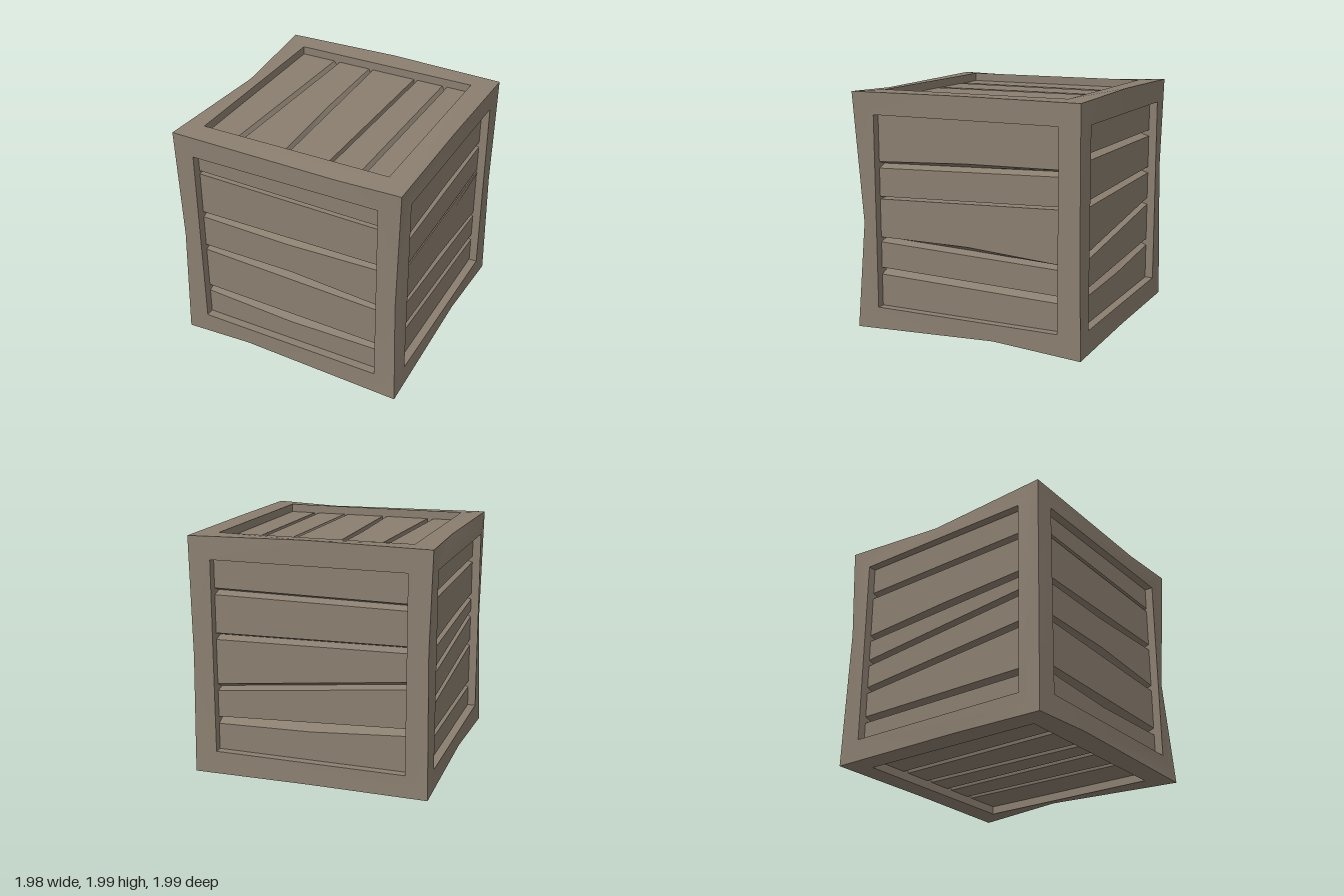
import * as THREE from 'three';

const wood = new THREE.MeshStandardMaterial({ color: 0x8a7e6f });
wood.name = 'weathered wood';

const INNER = 0.8;    // half width of each frame opening
const RIM = 0.985;    // frame surface at the opening
const PLANK = 0.915;  // plank surface
const FLOOR = 0.835;  // bottom of the grooves between planks

// Worn corners and the bent middle of every edge, keyed by the signs of x, y, z
const framePoints = {
  '1,1,1': [0.99, 0.98, 0.995], '-1,1,1': [-0.975, 0.975, 0.985],
  '1,1,-1': [0.99, 0.98, -0.975], '-1,1,-1': [-0.99, 0.985, -0.985],
  '1,-1,1': [0.99, -0.99, 0.995], '-1,-1,1': [-0.99, -0.99, 0.985],
  '1,-1,-1': [0.985, -0.99, -0.995], '-1,-1,-1': [-0.985, -0.985, -0.99],
  '1,0,1': [0.945, -0.1, 0.94], '-1,0,1': [-0.96, 0, 0.97],
  '1,0,-1': [0.975, 0, -0.975], '-1,0,-1': [-0.965, 0.2, -0.97],
  '0,1,1': [0.45, 0.96, 0.985], '0,1,-1': [0, 1, -0.985],
  '1,1,0': [0.985, 0.985, 0], '-1,1,0': [-0.93, 0.955, -0.1],
  '0,-1,1': [-0.4, -0.96, 0.98], '0,-1,-1': [0, -0.985, -0.985],
  '1,-1,0': [0.98, -0.94, -0.25], '-1,-1,0': [-0.97, -0.97, 0.2],
};

// A groove: its height at both ends, and the bevel widths above and below it
const groove = (l, r, up = 0.03, down = 0.025, upMid = up, downMid = down) => ({
  floor: [l, (l + r) / 2, r], up: [up, upMid, up], down: [down, downMid, down],
});

// u runs along the planks, v across them, n points outward
const faces = [
  { name: 'front', u: [1, 0, 0], v: [0, 1, 0], n: [0, 0, 1], grooves: [
    groove(-0.545, -0.57, 0.03, 0.03, 0.03, 0.06), groove(-0.115, -0.17, 0.025, 0.025, 0.055),
    groove(0.215, 0.225, 0.025, 0.025, 0.025, 0.045), groove(0.61, 0.583, 0.027, 0.004)] },
  { name: 'leftSide', u: [0, 0, -1], v: [0, 1, 0], n: [1, 0, 0], grooves: [
    groove(-0.5, -0.545, 0.025, 0.033), groove(-0.235, -0.29, 0.018, 0.023, 0.045),
    groove(0.105, 0.165, 0.017, 0.004), groove(0.385, 0.44, 0.025, 0.028, 0.038)] },
  { name: 'back', u: [-1, 0, 0], v: [0, 1, 0], n: [0, 0, -1], grooves: [
    groove(-0.54, -0.46, 0.02, 0.04, 0.02, 0.06), groove(-0.28, -0.1, 0.04, 0.02),
    groove(0.16, 0.19), groove(0.53, 0.52)] },
  { name: 'rightSide', u: [0, 0, 1], v: [0, 1, 0], n: [-1, 0, 0], grooves: [
    groove(-0.61, -0.6), groove(-0.35, -0.2), groove(-0.1, 0.07),
    groove(0.13, 0.23, 0.03, 0.025, 0.04), groove(0.54, 0.57)] },
  { name: 'top', u: [0, 0, 1], v: [1, 0, 0], n: [0, 1, 0], grooves: [
    groove(-0.44, -0.5, 0.004, 0.05), groove(-0.115, -0.08, 0.004, 0.035, 0.004, 0.05),
    groove(0.285, 0.26, 0.03, 0.004), groove(0.585, 0.575, 0.004, 0.04)] },
  { name: 'bottom', u: [0, 0, 1], v: [-1, 0, 0], n: [0, -1, 0], grooves: [
    groove(-0.45, -0.47), groove(-0.17, -0.15), groove(0.1, 0.08), groove(0.4, 0.43)] },
];

// Face coordinates to model coordinates, centred on the crate
const place = (f, u, v, n) => [0, 1, 2].map((k) => f.u[k] * u + f.v[k] * v + f.n[k] * n);

function makeMesh(name, points, index) {
  let geometry = new THREE.BufferGeometry();
  geometry.setAttribute('position', new THREE.Float32BufferAttribute(points.flat(), 3));
  geometry.setIndex(index);
  if (!name.startsWith('frame')) geometry = geometry.toNonIndexed();
  geometry.computeVertexNormals();
  const mesh = new THREE.Mesh(geometry, wood);
  mesh.name = name;
  return mesh;
}

// Frame surface around one opening, and the walls of the opening
function addFrame(group, f) {
  const signs = [[-1, -1], [1, -1], [1, 1], [-1, 1]];
  const lookup = (u, v) => framePoints[place(f, u, v, 1).map((c) => Math.round(c) + 0).join(',')];
  const ring = [], ringIndex = [], walls = [], wallIndex = [];
  signs.forEach(([u, v], i) => {
    const [nu, nv] = signs[(i + 1) % 4];
    ring.push(lookup(u, v), lookup((u + nu) / 2, (v + nv) / 2), place(f, u * INNER, v * INNER, RIM));
    walls.push(place(f, u * INNER, v * INNER, RIM), place(f, u * INNER, v * INNER, FLOOR - 0.01));
    const a = i * 3, b = ((i + 1) % 4) * 3;
    ringIndex.push(a, a + 1, a + 2, a + 1, b, b + 2, a + 1, b + 2, a + 2);
    const p = i * 2, q = ((i + 1) % 4) * 2;
    wallIndex.push(p, q, p + 1, q, q + 1, p + 1);
  });
  group.add(makeMesh('frame', ring, ringIndex), makeMesh('openingWalls', walls, wallIndex));
}

// Bevelled planks lofted through three stations between neighbouring grooves
function addPlanks(group, f) {
  const end = (v) => groove(v, v, 0, 0);
  const bounds = [end(-0.82), ...f.grooves, end(0.82)];
  for (let p = 0; p < bounds.length - 1; p++) {
    const low = bounds[p], high = bounds[p + 1];
    const points = [], index = [];
    [-0.82, 0, 0.82].forEach((u, i) => {
      points.push(
        place(f, u, low.floor[i], FLOOR),
        place(f, u, low.floor[i] + low.up[i], PLANK),
        place(f, u, high.floor[i] - high.down[i], PLANK),
        place(f, u, high.floor[i], FLOOR));
      if (i === 2) return;
      for (let j = 0; j < 3; j++) {
        const a = i * 4 + j;
        index.push(a, a + 4, a + 5, a, a + 5, a + 1);
      }
    });
    group.add(makeMesh('plank', points, index));
  }
}

export function createModel() {
  const crate = new THREE.Group();
  crate.name = 'crate';
  for (const f of faces) {
    const side = new THREE.Group();
    side.name = f.name;
    side.position.y = 0.995;
    addFrame(side, f);
    addPlanks(side, f);
    crate.add(side);
  }
  // Thin split in one plank
  const s = faces[1];
  const split = [[0.27, 0.075], [0.81, 0.14], [0.81, 0.16]].map(([u, v]) => place(s, u, v, PLANK + 0.004));
  const splitMesh = makeMesh('plankSplit', split, [0, 1, 2]);
  splitMesh.position.y = 0.995;
  crate.add(splitMesh);
  return crate;
}
